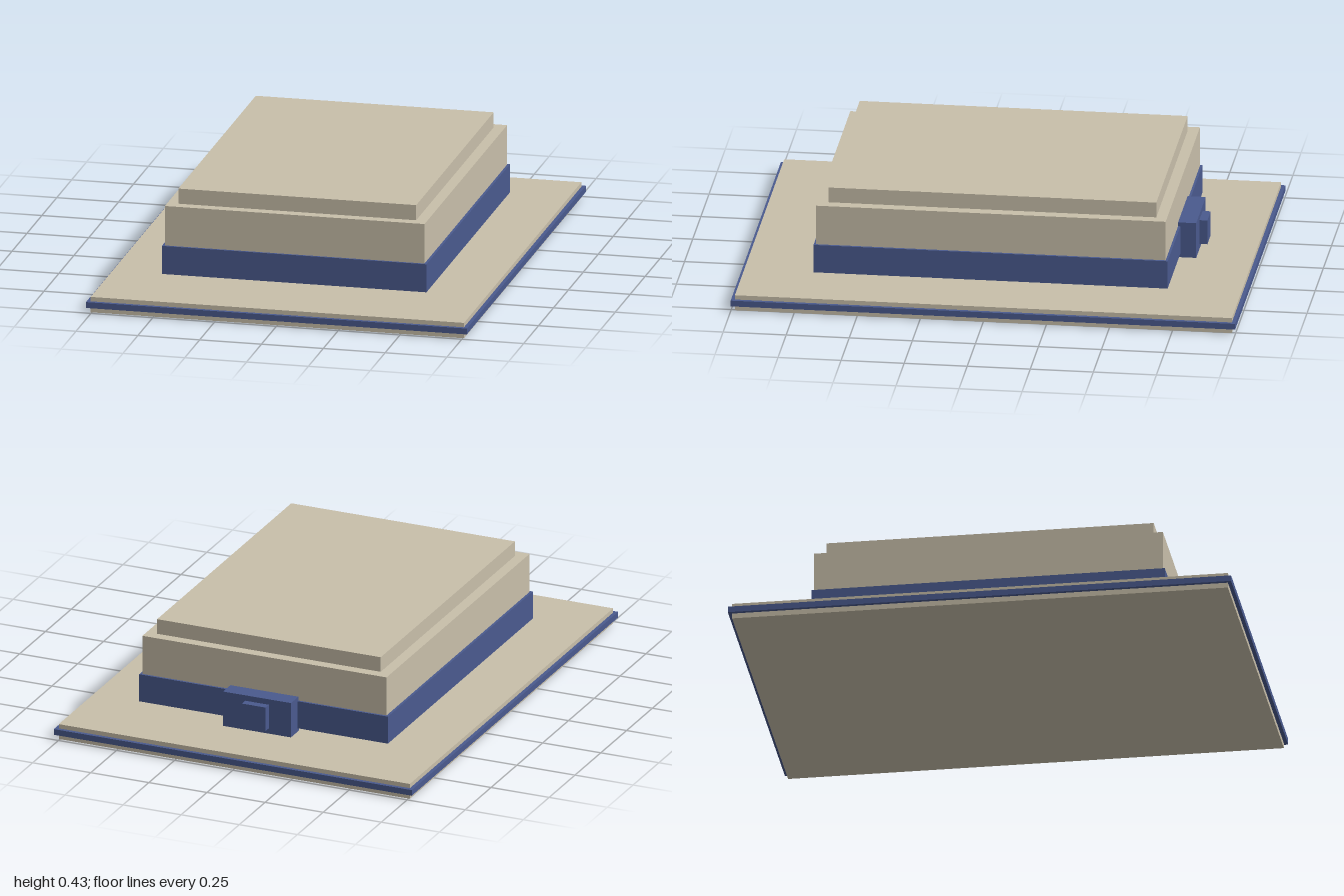
import * as THREE from 'three';

export function createModel() {
  const group = new THREE.Group();
  const beige = new THREE.MeshStandardMaterial({ color: 0xc8bfaa });
  beige.name = 'beige';
  const blue = new THREE.MeshStandardMaterial({ color: 0x4a5a8e });
  blue.name = 'blue';

  // Box centred on x = 0, given its width and its y and z ranges
  function box(name, material, width, y0, y1, z0, z1) {
    const mesh = new THREE.Mesh(new THREE.BoxGeometry(width, y1 - y0, z1 - z0), material);
    mesh.position.set(0, (y0 + y1) / 2, (z0 + z1) / 2);
    mesh.name = name;
    group.add(mesh);
  }

  // Ground slab with a protruding edge band
  box('baseSlab', beige, 1.51, 0, 0.063, -0.985, 0.985);
  box('baseEdgeBand', blue, 1.54, 0.021, 0.045, -1, 1);

  // Main block, raised just above the slab
  box('lowerBand', blue, 1.07, 0.09, 0.205, -0.702, 0.702);
  box('body', beige, 1.05, 0.205, 0.367, -0.693, 0.693);
  box('lid', beige, 0.962, 0.367, 0.429, -0.65, 0.65);

  // Latch on the back
  box('latchPlate', blue, 0.292, 0.075, 0.221, -0.765, -0.685);
  box('latchButton', blue, 0.102, 0.098, 0.198, -0.797, -0.765);

  return group;
}
